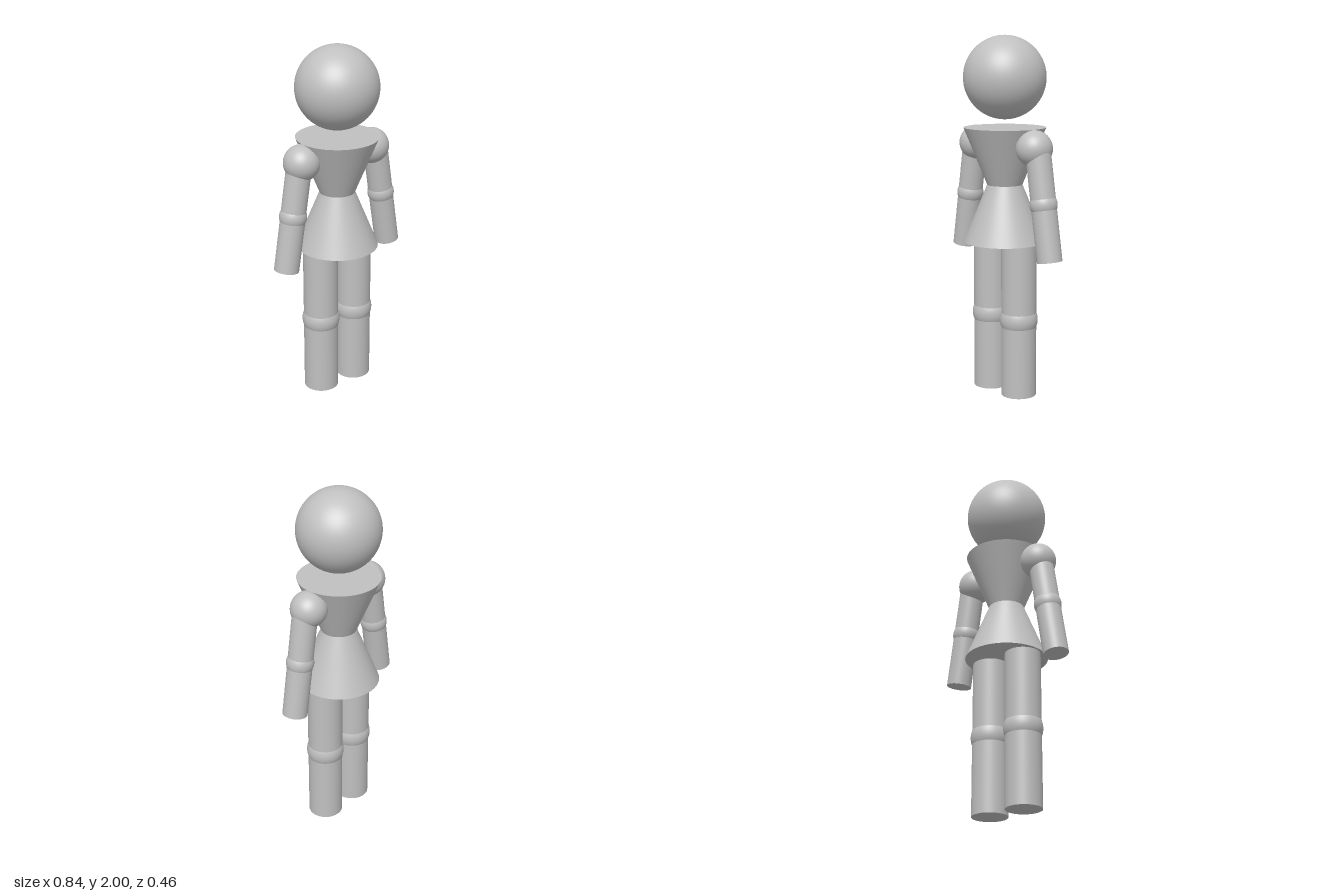
import * as THREE from 'three';

export function createModel() {
  const model = new THREE.Group();
  model.name = 'figure';
  const grey = new THREE.MeshStandardMaterial({ color: 0xc0c0c0 });
  grey.name = 'plain grey';
  const midX = -0.006; // the body sits slightly off centre

  function add(parent, name, geometry, x, y) {
    const mesh = new THREE.Mesh(geometry, grey);
    mesh.name = name;
    mesh.position.set(x, y, 0);
    parent.add(mesh);
    return mesh;
  }
  const ball = (r) => new THREE.SphereGeometry(r, 64, 40);
  const cone = (top, bottom, height) => new THREE.CylinderGeometry(top, bottom, height, 64);

  // Floating head, and two cones meeting at the waist
  add(model, 'head', ball(0.228), midX, 1.772);
  add(model, 'torso', cone(0.228, 0.098, 0.317), midX, 1.3415);
  add(model, 'skirt', cone(0.098, 0.228, 0.318), midX, 1.024);

  for (const side of [-1, 1]) {
    const label = side > 0 ? 'left' : 'right';

    // Straight leg with a knee ball swelling just past it
    const leg = new THREE.Group();
    leg.name = label + 'Leg';
    leg.position.x = midX + side * 0.117;
    add(leg, 'legShaft', cone(0.098, 0.098, 0.87), 0, 0.435);
    add(leg, 'knee', ball(0.106), 0, 0.435);
    model.add(leg);

    add(model, label + 'Shoulder', ball(0.1), side * 0.236 + midX, 1.4);

    // Arm swung outwards, built upwards from the wrist
    const arm = new THREE.Group();
    arm.name = label + 'Arm';
    arm.position.set(side * 0.354, 0.801, 0);
    arm.rotation.z = side * 0.161;
    add(arm, 'armShaft', cone(0.069, 0.069, 0.6), 0, 0.3);
    add(arm, 'elbow', ball(0.0755), 0, 0.31);
    model.add(arm);
  }
  return model;
}
